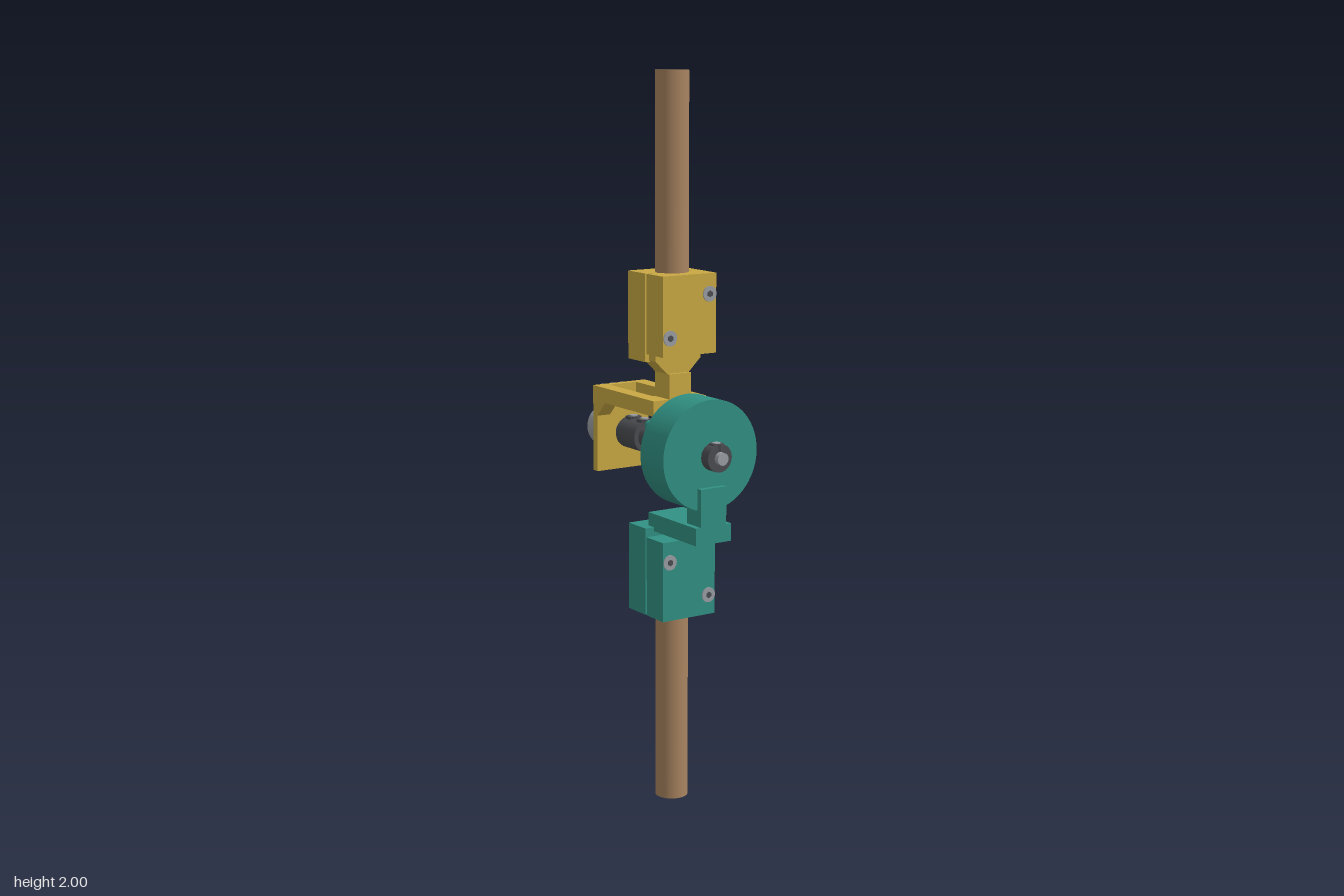
import * as THREE from 'three';

const mat = (name, color) => {
  const m = new THREE.MeshStandardMaterial({ color });
  m.name = name;
  return m;
};

export function createModel() {
  const model = new THREE.Group();
  model.name = 'elbowJoint';
  const wood = mat('wood', 0xa98460);
  const gold = mat('goldPlastic', 0xc9a843);
  const teal = mat('tealPlastic', 0x319183);
  const steel = mat('steel', 0x9a9ea4);
  const dark = mat('darkMetal', 0x4b4d51);
  const AXIS = 1.0; // height of the joint axle

  const add = (name, geo, material) => {
    const mesh = new THREE.Mesh(geo, material);
    mesh.name = name;
    model.add(mesh);
    return mesh;
  };
  // box given by its min and max on each axis
  const box = (name, m, x0, x1, y0, y1, z0, z1) =>
    add(name, new THREE.BoxGeometry(x1 - x0, y1 - y0, z1 - z0), m)
      .position.set((x0 + x1) / 2, (y0 + y1) / 2, (z0 + z1) / 2);
  // cylinder along z, x or y between a and b
  const cylZ = (name, m, r, a, b, x = 0, y = AXIS, seg = 40) => {
    const g = new THREE.CylinderGeometry(r, r, b - a, seg);
    g.rotateX(Math.PI / 2);
    const mesh = add(name, seg < 8 ? g.toNonIndexed() : g, m);
    if (seg < 8) mesh.geometry.computeVertexNormals();
    mesh.position.set(x, y, (a + b) / 2);
  };
  const cylX = (name, m, r, a, b, y, z) => {
    const g = new THREE.CylinderGeometry(r, r, b - a, 24);
    g.rotateZ(Math.PI / 2);
    add(name, g, m).position.set((a + b) / 2, y, z);
  };
  const cylY = (name, m, r, a, b, x, z, seg = 32) => {
    let g = new THREE.CylinderGeometry(r, r, b - a, seg);
    if (seg < 8) {
      g = g.toNonIndexed();
      g.computeVertexNormals();
    }
    add(name, g, m).position.set(x, (a + b) / 2, z);
  };
  const extrude = (pts, depth) =>
    new THREE.ExtrudeGeometry(new THREE.Shape(pts.map(p => new THREE.Vector2(...p))),
      { depth, bevelEnabled: false });

  // Rods
  cylY('lowerRod', wood, 0.045, 0, 0.75, 0, 0.05, 48);
  cylY('upperRod', wood, 0.045, 1.255, 2, 0, 0.05, 48);

  // Split clamps with bolts and nuts
  const bolt = (x, y) => {
    cylZ('boltHead', steel, 0.021, 0.125, 0.138, x, y, 24);
    cylZ('boltSocket', dark, 0.009, 0.135, 0.1395, x, y, 6);
    cylZ('boltShank', steel, 0.012, -0.03, 0.13, x, y, 16);
    cylZ('boltNut', steel, 0.021, -0.038, -0.02, x, y, 6);
  };
  box('upperClampFront', gold, -0.085, 0.085, 1.255, 1.47, 0.055, 0.135);
  box('upperClampBack', gold, -0.085, 0.085, 1.232, 1.47, -0.035, 0.048);
  box('lowerClampFront', teal, -0.085, 0.085, 0.532, 0.752, 0.055, 0.135);
  box('lowerClampBack', teal, -0.085, 0.085, 0.532, 0.775, -0.035, 0.048);
  bolt(0.063, 1.415);
  bolt(-0.063, 1.305);
  bolt(-0.063, 0.695);
  bolt(0.063, 0.587);

  // Neck flaring into the upper clamp
  const flare = extrude([[-0.035, 1.19], [0.035, 1.19], [0.035, 1.2], [0.072, 1.236],
    [0.072, 1.255], [-0.072, 1.255], [-0.072, 1.236], [-0.035, 1.2]], 0.06);
  add('neckFlare', flare, gold).position.z = 0.02;
  box('neck', gold, -0.035, 0.035, 1.03, 1.2, 0.02, 0.09);
  box('crossBar', gold, -0.085, 0.085, 1.09, 1.132, 0.02, 0.09);

  // Sensor frame: two arms with gussets and a rear plate
  for (const x of [-0.085, 0.043]) {
    const g = extrude([[0.03, 1.09], [0.03, 1.132], [-0.2, 1.132], [-0.2, 1.045], [-0.155, 1.09]].reverse(), 0.042);
    // profile runs in z and y, so turn its x axis onto z
    g.rotateY(-Math.PI / 2);
    add('sensorArm', g, gold).position.x = x + 0.042;
  }
  box('sensorPlate', gold, -0.085, 0.085, 0.89, 1.132, -0.218, -0.197);

  // Hub with its stop lever
  cylZ('hub', gold, 0.05, -0.02, 0.125);
  box('stopLever', gold, 0, 0.105, 0.985, 1.015, 0.095, 0.12);
  cylY('stopLeverTip', gold, 0.0125, 0.985, 1.015, 0.1075, 0.1075, 20);

  // Pulley disc with stop pegs and a side hole
  cylZ('disc', teal, 0.15, 0.125, 0.235, 0, AXIS, 72);
  for (const y of [0.93, 1.07]) cylZ('stopPeg', teal, 0.014, 0.092, 0.13, -0.101, y, 20);
  cylX('discSidePort', dark, 0.021, 0.143, 0.1505, AXIS, 0.197);
  cylX('discSidePortCore', teal, 0.016, 0.143, 0.152, AXIS, 0.197);

  // Bracket from the disc down to the lower clamp
  box('bracketUpright', teal, -0.041, 0.041, 0.765, 0.915, 0.185, 0.25);
  box('bracketFoot', teal, -0.057, 0.057, 0.764, 0.812, 0.02, 0.25);

  // Axle and front collar
  cylZ('axleFront', steel, 0.017, 0.23, 0.293);
  cylZ('frontCollar', dark, 0.038, 0.246, 0.278);
  cylY('frontCollarNut', dark, 0.02, 1.02, 1.038, 0, 0.262, 6);
  cylY('frontCollarScrew', steel, 0.011, 1.02, 1.04, 0, 0.262, 16);

  // Shaft coupling with set screws
  cylZ('couplingNeck', dark, 0.031, -0.072, -0.015);
  cylZ('coupling', dark, 0.044, -0.165, -0.07);
  for (const z of [-0.143, -0.086]) {
    cylY('couplingNut', dark, 0.022, 1.03, 1.048, 0, z, 6);
    cylY('couplingScrew', steel, 0.011, 1.03, 1.051, 0, z, 16);
  }

  // Rotary sensor
  cylZ('sensorShaft', steel, 0.017, -0.2, -0.16);
  cylZ('sensorNut', steel, 0.024, -0.197, -0.182);
  cylZ('sensorBush', steel, 0.025, -0.232, -0.21);
  cylZ('sensorShoulder', steel, 0.037, -0.237, -0.228);
  cylZ('sensorBody', steel, 0.058, -0.295, -0.234);
  box('sensorTab', steel, 0.05, 0.058, 0.985, 1.015, -0.24, -0.21);
  box('terminalBoard', steel, -0.048, 0.048, 1.02, 1.065, -0.256, -0.244);
  for (const x of [-0.033, 0, 0.033]) {
    box('terminalLug', steel, x - 0.013, x + 0.013, 1.05, 1.082, -0.254, -0.242);
    box('terminalPin', steel, x - 0.005, x + 0.005, 1.07, 1.125, -0.257, -0.251);
  }

  return model;
}
